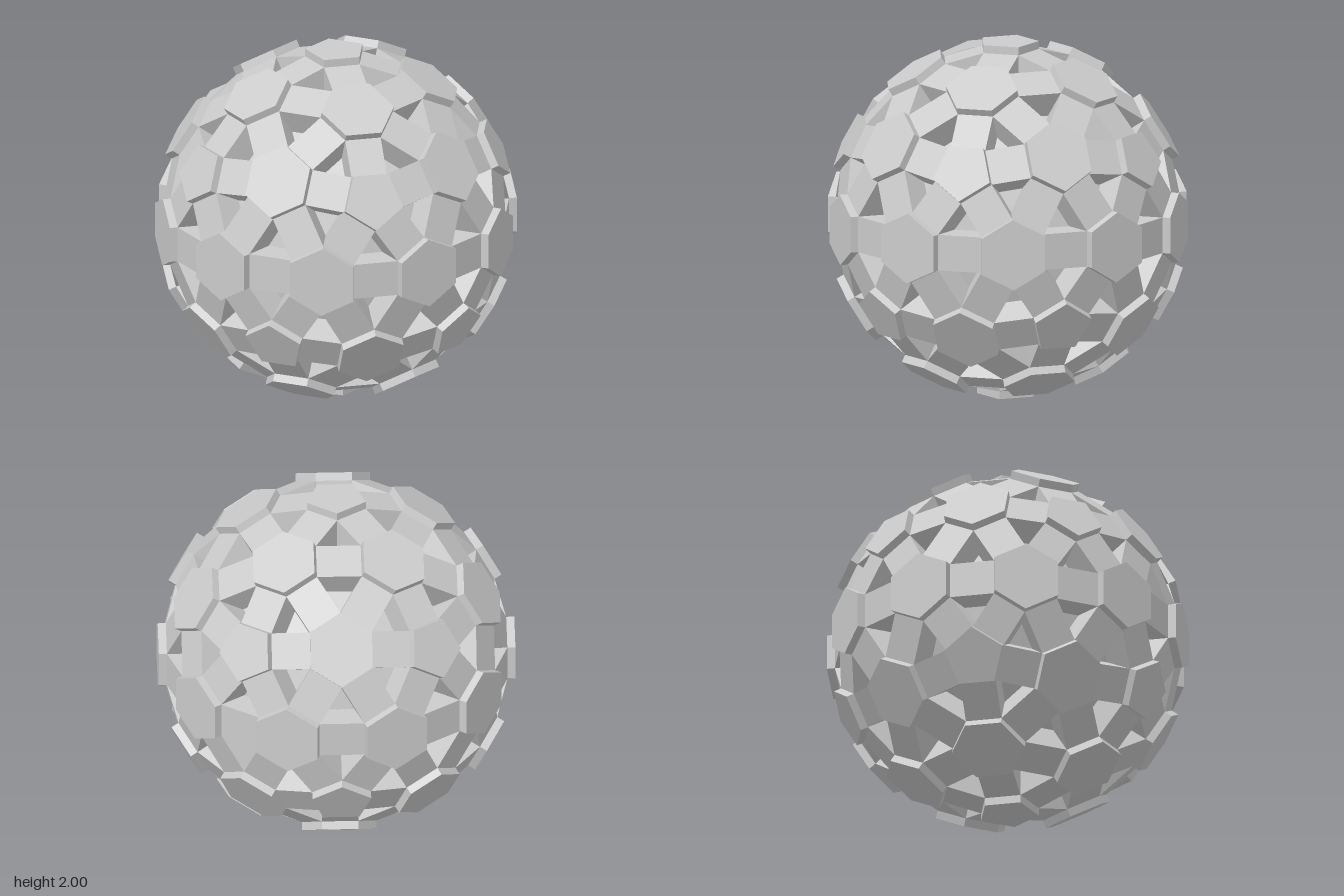
import * as THREE from 'three';
import { ConvexGeometry } from 'three/addons/geometries/ConvexGeometry.js';

const EDGE = 0.202;      // side length of every plate
const RAISE = 0.045;     // plates stand this far above the connectors
const DEPTH = 0.17;      // connectors reach this far inward
const TILT = Math.atan(0.5 * (Math.sqrt(5) - 1)); // pentagon to hexagon axis angle

const material = new THREE.MeshStandardMaterial({ color: 0xcccccc, flatShading: true });

// Twelve five-fold axes, one of them vertical
function pentagonAxes() {
  const axes = [new THREE.Vector3(0, 1, 0)];
  for (let i = 0; i < 5; i++) {
    const a = (i * 2 * Math.PI) / 5, c = 2 / Math.sqrt(5);
    axes.push(new THREE.Vector3(c * Math.cos(a), 1 / Math.sqrt(5), c * Math.sin(a)));
  }
  return axes.concat(axes.map(v => v.clone().negate()));
}

// Each plate: unit normal, outer distance from the centre, and corner offsets
function makePlates() {
  const axes = pentagonAxes();
  const near = (a, b) => a.dot(b) > 0.4 && a.dot(b) < 0.5;
  const plates = [];
  const hexWide = EDGE * 0.851, pentIn = EDGE * 0.6882;
  const baseHex = (pentIn + hexWide * Math.cos(TILT)) / Math.sin(TILT);
  const basePent = baseHex * Math.cos(TILT) + hexWide * Math.sin(TILT);

  for (const n of axes) {
    const first = axes.find(b => near(n, b));
    const toward = first.clone().addScaledVector(n, -first.dot(n)).normalize();
    const corners = [];
    for (let i = 0; i < 5; i++) {
      corners.push(toward.clone().multiplyScalar(pentIn / Math.cos(Math.PI / 5))
        .applyAxisAngle(n, ((i + 0.5) * 2 * Math.PI) / 5));
    }
    plates.push({ name: 'pentagonPlate', n, base: basePent, outer: 1, corners });
  }

  const hexOuter = 1 - (basePent - baseHex);
  const outline = [[0.5, 0.851], [-0.5, 0.851], [-1.0257, 0], [-0.5, -0.851], [0.5, -0.851], [1.0257, 0]];
  axes.forEach((a, i) => axes.slice(i + 1).filter(b => near(a, b)).forEach(b => {
    const n = a.clone().add(b).normalize();
    const v = a.clone().sub(b).normalize();
    const u = v.clone().cross(n);
    const corners = outline.map(([x, y]) =>
      u.clone().multiplyScalar(x * EDGE).addScaledVector(v, y * EDGE));
    plates.push({ name: 'hexagonPlate', n, base: baseHex, outer: hexOuter, corners });
  }));
  return plates;
}

const at = (plate, corner, distance) => corner.clone().addScaledVector(plate.n, distance);

export function createModel() {
  const model = new THREE.Group();
  model.name = 'panelledBall';
  const groups = {};
  const add = (name, points) => {
    if (!groups[name]) {
      groups[name] = new THREE.Group();
      groups[name].name = name + 's';
      model.add(groups[name]);
    }
    const mesh = new THREE.Mesh(new ConvexGeometry(points), material);
    mesh.name = name;
    groups[name].add(mesh);
  };

  const plates = makePlates();
  const rim = [];

  // Raised pentagon and hexagon plates
  for (const p of plates) {
    add(p.name, p.corners.flatMap(c => [at(p, c, p.outer), at(p, c, p.outer - DEPTH)]));
    p.corners.forEach(c => rim.push(at(p, c, p.outer - RAISE)));
  }

  // Connector blocks between plates that share an edge
  plates.forEach((p, i) => plates.slice(i + 1).forEach(q => {
    if (p.n.dot(q.n) < 0.7) return;
    const top = [];
    for (const c of p.corners) for (const d of q.corners) {
      if (at(p, c, p.base).distanceTo(at(q, d, q.base)) < 0.02) {
        top.push(at(p, c, p.outer - RAISE), at(q, d, q.outer - RAISE));
      }
    }
    if (top.length !== 4) return;
    const normal = top[1].clone().sub(top[0]).cross(top[2].clone().sub(top[0])).normalize();
    if (normal.dot(top[0]) < 0) normal.negate();
    add('connectorBlock', top.concat(top.map(v => v.clone().addScaledVector(normal, -DEPTH))));
  }));

  // Inner core closing the bottoms of the triangular recesses
  add('innerCore', rim.map(v => v.clone().multiplyScalar(0.84)));

  model.children.forEach(g => { g.position.y = 1; });
  return model;
}
